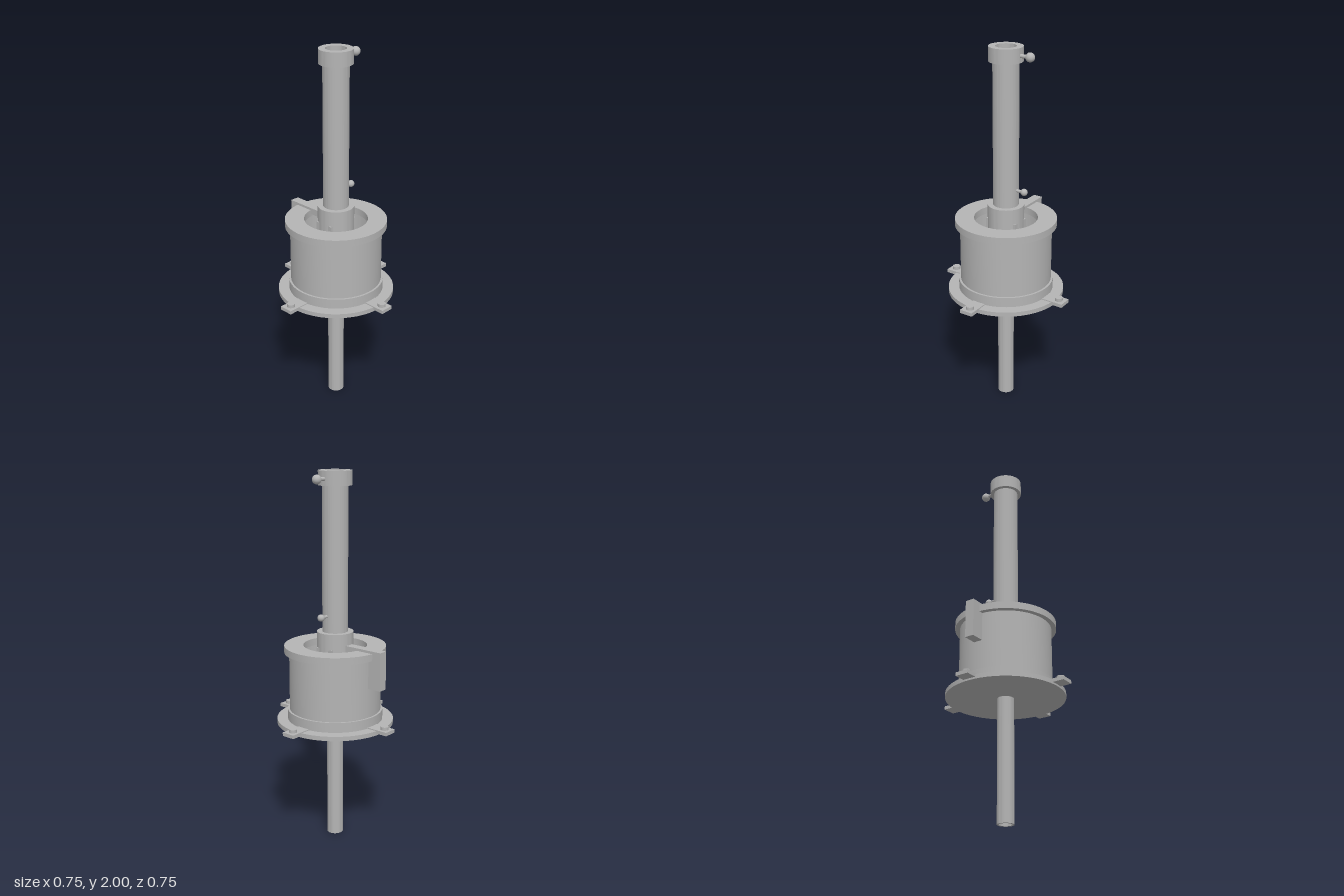
import * as THREE from 'three';
import { toCreasedNormals } from 'three/addons/utils/BufferGeometryUtils.js';

export function createModel() {
  const model = new THREE.Group();
  const steel = new THREE.MeshStandardMaterial({ color: 0xb4b4b4 });
  steel.name = 'steel grey';

  const add = (name, geometry, x = 0, y = 0, z = 0, parent = model) => {
    const mesh = new THREE.Mesh(geometry, steel);
    mesh.name = name;
    mesh.position.set(x, y, z);
    parent.add(mesh);
    return mesh;
  };

  // Hollow ring or tube with sharp rims
  const ring = (name, outer, inner, y0, y1) => {
    const profile = [[inner, y0], [outer, y0], [outer, y1], [inner, y1], [inner, y0]]
      .map(([r, y]) => new THREE.Vector2(r, y));
    return add(name, toCreasedNormals(new THREE.LatheGeometry(profile, 72), 0.6));
  };

  // Box given by its lower and upper limits
  const block = (name, [x0, y0, z0], [x1, y1, z1], parent = model) =>
    add(name, new THREE.BoxGeometry(x1 - x0, y1 - y0, z1 - z0),
      (x0 + x1) / 2, (y0 + y1) / 2, (z0 + z1) / 2, parent);

  // Central column
  ring('lowerShaft', 0.044, 0.034, 0, 1.12);
  ring('upperTube', 0.068, 0.053, 1.1, 1.94);
  ring('topCap', 0.088, 0.053, 1.925, 2);
  ring('collar', 0.097, 0.044, 0.92, 1.163);
  block('collarBlockLeft', [0.044, 0.69, -0.053], [0.092, 1.08, 0.053]);
  block('collarBlockRight', [-0.092, 0.69, -0.053], [-0.044, 1.08, 0.053]);

  // Drum and its flanges
  ring('basePlate', 0.315, 0.04, 0.657, 0.681);
  ring('lowerFlange', 0.257, 0.21, 0.68, 0.735);
  ring('drum', 0.246, 0.21, 0.68, 1.06);
  ring('topFlange', 0.272, 0.17, 1.049, 1.087);

  // Four bolted mounting tabs
  for (let i = 0; i < 4; i++) {
    const tab = new THREE.Group();
    tab.name = 'mountingTab';
    block('tabPlate', [0.25, 0.667, -0.037], [0.376, 0.686, 0.037], tab);
    add('tabBolt', new THREE.CylinderGeometry(0.021, 0.021, 0.036, 32), 0.338, 0.685, 0, tab);
    tab.rotation.y = i * Math.PI / 2;
    model.add(tab);
  }

  // Rear bracket
  block('bracketArm', [-0.025, 1.065, -0.322], [0.025, 1.1, -0.09]);
  block('bracketPlate', [-0.025, 0.895, -0.322], [0.025, 1.066, -0.246]);

  // Ball-ended knobs on the left side
  const knob = (name, y, start, end, stem, ball) => {
    const rod = new THREE.CylinderGeometry(stem, stem, end - start, 24).rotateZ(Math.PI / 2);
    add(name + 'Stem', rod, (start + end) / 2, y, 0);
    add(name + 'Ball', new THREE.SphereGeometry(ball, 32, 20), end, y, 0);
  };
  knob('upperKnob', 1.96, 0.08, 0.141, 0.01, 0.024);
  knob('lowerKnob', 1.252, 0.06, 0.113, 0.008, 0.019);

  return model;
}
